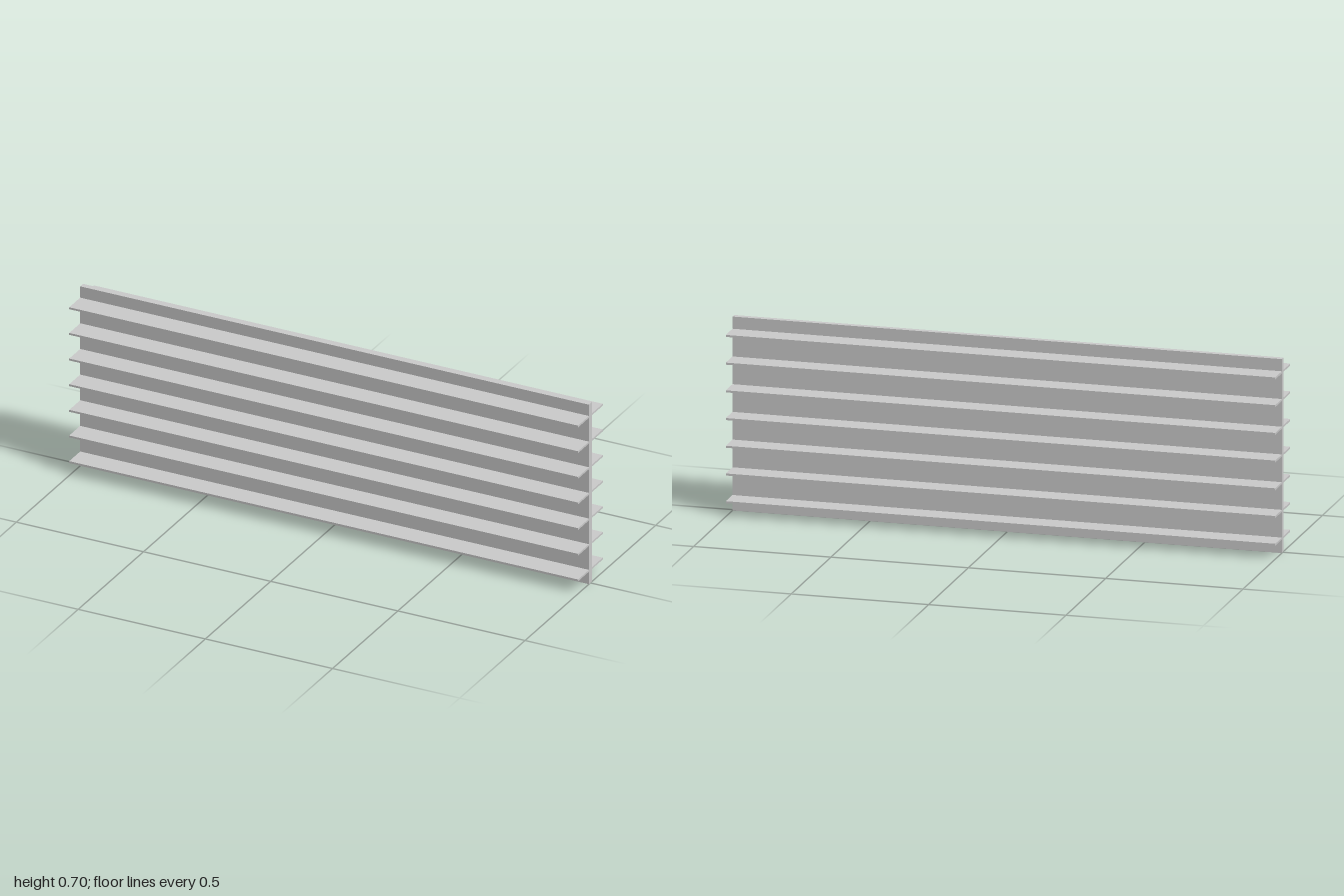
import * as THREE from 'three';

const LENGTH = 2;
const PANEL_HEIGHT = 0.704;
const PANEL_THICKNESS = 0.022;
const FIN_COUNT = 7;
const FIN_THICKNESS = 0.0075;
const FIN_REACH = 0.095; // from the centre plane to the fin's free edge
const FIRST_FIN_Y = 0.0525;
const FIN_SPACING = 0.1006;

export function createModel() {
  const model = new THREE.Group();
  model.name = 'finnedPanel';
  const material = new THREE.MeshStandardMaterial({ color: 0xcccccc });

  function addBox(name, height, depth, y, z) {
    const mesh = new THREE.Mesh(new THREE.BoxGeometry(LENGTH, height, depth), material);
    mesh.name = name;
    mesh.position.set(0, y, z);
    model.add(mesh);
  }

  // Upright central panel
  addBox('panel', PANEL_HEIGHT, PANEL_THICKNESS, PANEL_HEIGHT / 2, 0);

  // Horizontal fins, mirrored on the front and back of the panel
  const finDepth = FIN_REACH - PANEL_THICKNESS / 2;
  const finZ = PANEL_THICKNESS / 2 + finDepth / 2;
  for (let i = 0; i < FIN_COUNT; i++) {
    const y = FIRST_FIN_Y + i * FIN_SPACING;
    addBox(`frontFin${i + 1}`, FIN_THICKNESS, finDepth, y, finZ);
    addBox(`backFin${i + 1}`, FIN_THICKNESS, finDepth, y, -finZ);
  }

  return model;
}
